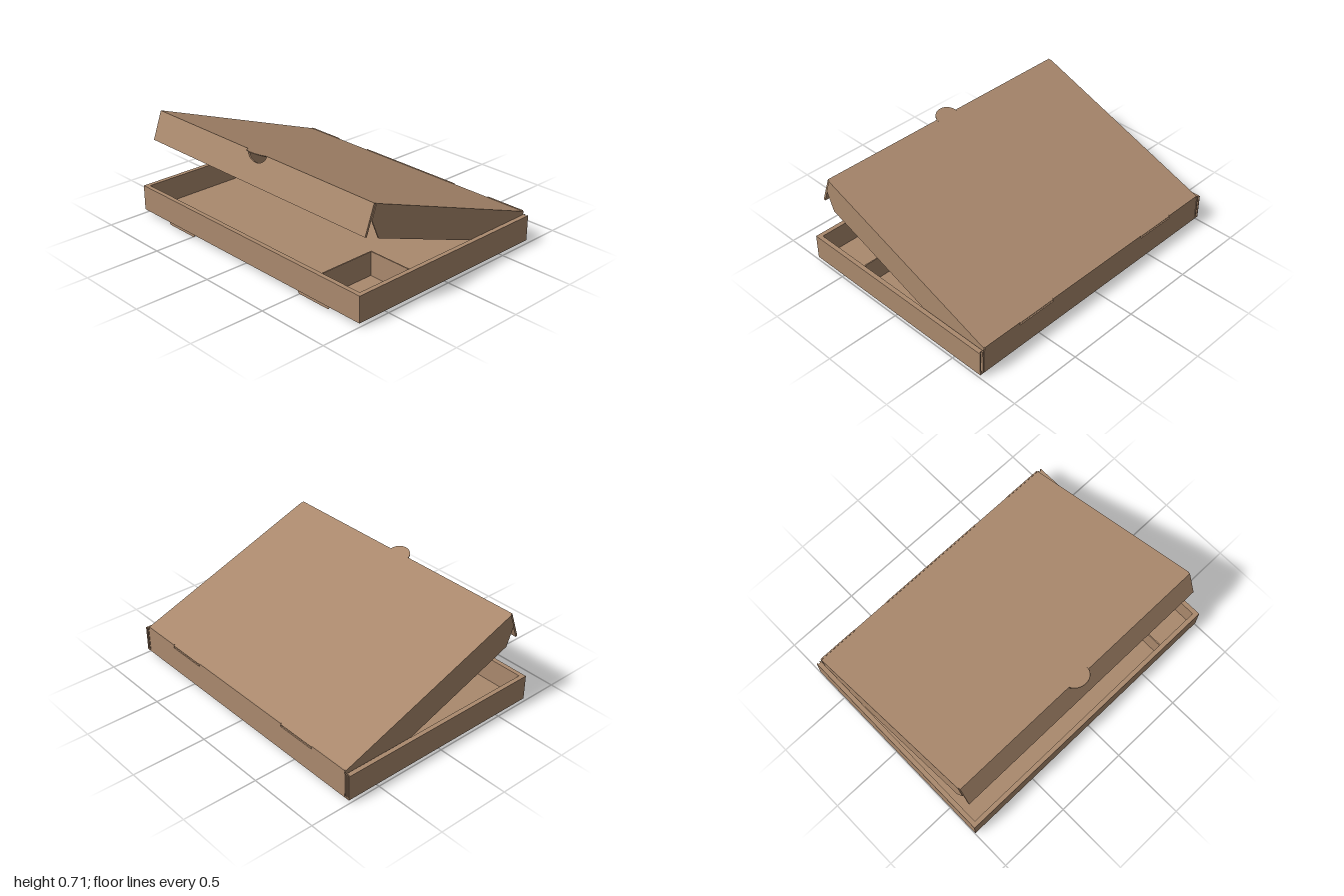
import * as THREE from 'three';

const T = 0.008; // card thickness
const card = new THREE.MeshStandardMaterial({ color: 0xaa896d, side: THREE.DoubleSide });

function add(parent, name, geometry) {
  const mesh = new THREE.Mesh(geometry, card);
  mesh.name = name;
  parent.add(mesh);
  return mesh;
}

// Box given by its minimum and maximum corners
function panel(parent, name, [x0, y0, z0], [x1, y1, z1]) {
  const g = new THREE.BoxGeometry(x1 - x0, y1 - y0, z1 - z0);
  g.translate((x0 + x1) / 2, (y0 + y1) / 2, (z0 + z1) / 2);
  return add(parent, name, g);
}

function extrude(shape, depth = T) {
  return new THREE.ExtrudeGeometry(shape, { depth, bevelEnabled: false, curveSegments: 24 });
}

function polygon(points) {
  return new THREE.Shape(points.map(([x, y]) => new THREE.Vector2(x, y)));
}

function createTray() {
  const tray = new THREE.Group();
  tray.name = 'tray';
  const y0 = 0.025, y1 = 0.195, Z = 0.73;

  panel(tray, 'floor', [-0.998, y0, -Z], [0.998, y0 + T, Z - 0.002]);
  panel(tray, 'backWall', [-0.965, y0, -Z], [0.965, y1, -Z + T]);

  // Folded double front wall
  panel(tray, 'frontOuterWall', [-1, y0, Z - T], [1, y1, Z]);
  panel(tray, 'frontInnerWall', [-0.97, y0, 0.7], [0.97, y1, 0.7 + T]);
  panel(tray, 'frontFold', [-0.97, y1 - T, 0.7], [0.97, y1, Z]);

  for (const s of [-1, 1]) {
    // Folded double side walls, open at the back end
    const side = new THREE.Group();
    side.name = s > 0 ? 'leftWall' : 'rightWall';
    tray.add(side);
    const wall = (name, a, b, ya, z0) =>
      panel(side, name, [Math.min(s * a, s * b), ya, z0], [Math.max(s * a, s * b), y1, Z - T]);
    wall('outerWall', 1 - T, 1, y0, -Z);
    wall('innerWall', 0.97, 0.978, y0, -Z);
    wall('wallFold', 0.97, 1, y1 - T, -Z + 0.01);

    // Locking tab poking through the floor
    const tab = add(tray, 'lockingTab', extrude(polygon([
      [s * 0.48, y0], [s * 0.495, 0], [s * 0.74, 0], [s * 0.755, y0],
    ]), 0.004));
    tab.position.z = 0.715;
  }

  // Corner compartment
  panel(tray, 'dividerLong', [0.66, y0, 0.3], [0.66 + T, 0.19, 0.7]);
  panel(tray, 'dividerShort', [0.66, y0, 0.3], [0.97, 0.19, 0.3 + T]);

  // Hinge strips, leaving two slots between them
  for (const [a, b] of [[-0.96, -0.68], [-0.4, 0.4], [0.68, 0.96]]) {
    panel(tray, 'hinge', [a, y1, -Z], [b, 0.217, -Z + T]);
  }
  return tray;
}

function createLid() {
  const lid = new THREE.Group();
  lid.name = 'lid';
  const W = 0.965, L = 1.389, D = 0.195;

  // Top panel with a rounded thumb tab at the front
  const top = new THREE.Shape();
  top.moveTo(-W, 0);
  top.lineTo(W, 0);
  top.lineTo(W, L);
  top.lineTo(0.082, L);
  top.absellipse(0, L, 0.082, 0.074, 0, Math.PI, false);
  top.lineTo(-W, L);
  top.closePath();
  add(lid, 'lidTop', extrude(top, 0.005).rotateX(Math.PI / 2));

  // Front lip with the matching notch
  const lip = new THREE.Shape();
  lip.moveTo(-0.96, -D);
  lip.lineTo(0.96, -D);
  lip.lineTo(0.96, 0);
  lip.lineTo(0.082, 0);
  lip.absellipse(0, 0, 0.082, 0.06, 0, Math.PI, true);
  lip.lineTo(-0.96, 0);
  lip.closePath();
  add(lid, 'lidLip', extrude(lip, 0.014)).position.z = L;

  // Side flaps with clipped corners
  const flap = polygon([[0, 0], [0.02, -D + 0.01], [0.05, -D], [1.297, -D], [L, -0.096], [L, 0]]);
  for (const s of [-1, 1]) {
    const mesh = add(lid, s > 0 ? 'lidLeftFlap' : 'lidRightFlap', extrude(flap).rotateY(-Math.PI / 2));
    mesh.position.x = s > 0 ? W : -W + T;
  }

  lid.position.set(0, 0.211, -0.73);
  lid.rotation.x = -THREE.MathUtils.degToRad(20);
  return lid;
}

export function createModel() {
  const model = new THREE.Group();
  model.name = 'openCardboardBox';
  model.add(createTray(), createLid());
  return model;
}
